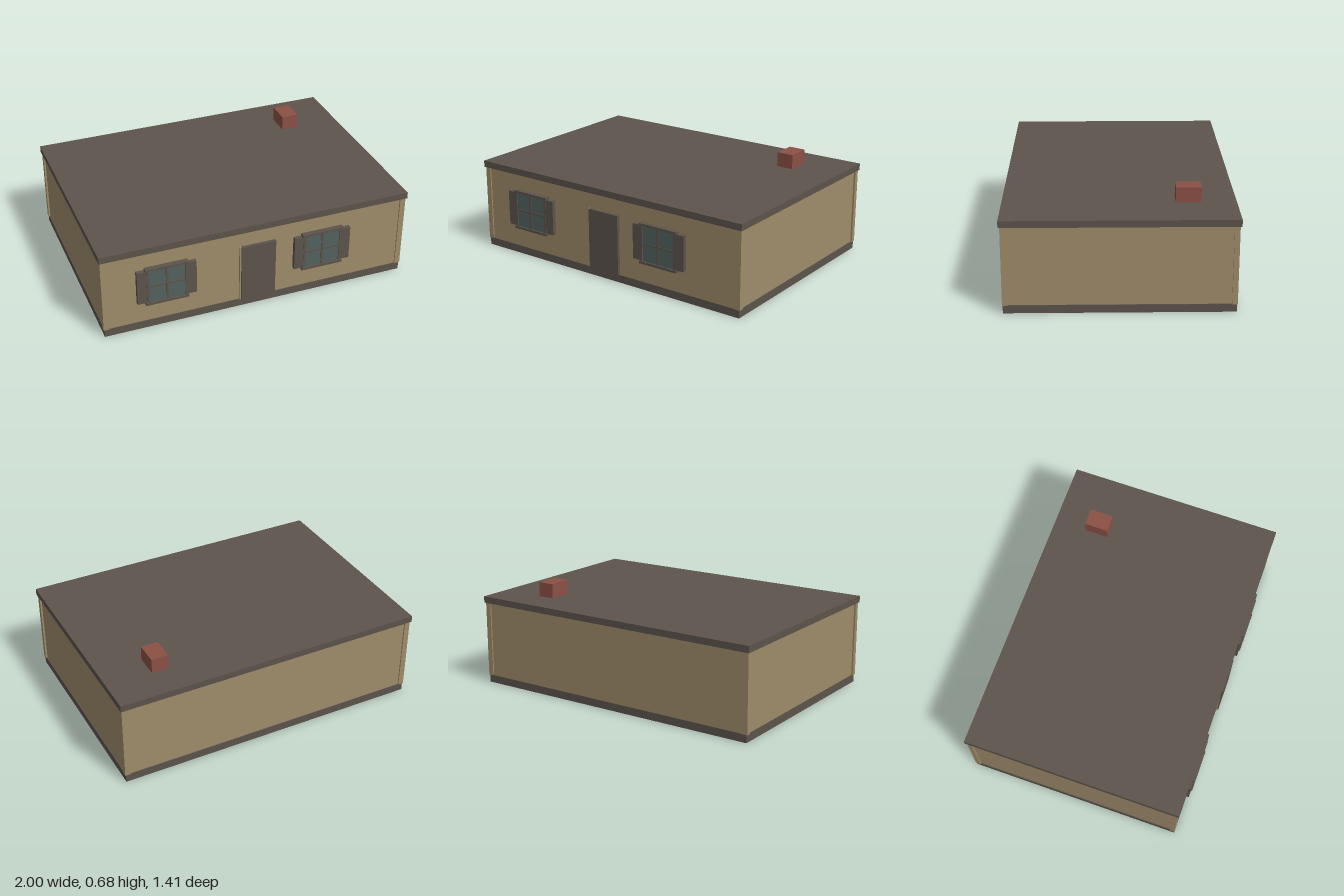
import * as THREE from 'three';

const material = (name, color) => Object.assign(new THREE.MeshStandardMaterial({ color }), { name });

export function createModel() {
  const house = new THREE.Group();
  house.name = 'house';
  const tan = material('tan siding', 0x9f8c6a);
  const brown = material('dark brown trim', 0x5c544c);
  const brick = material('red brick', 0x8c5045);
  const glass = material('blue grey glass', 0x52625f);

  // Box given by its limits along each axis
  const box = (parent, name, mat, x0, x1, y0, y1, z0, z1) => {
    const mesh = new THREE.Mesh(new THREE.BoxGeometry(x1 - x0, y1 - y0, z1 - z0), mat);
    mesh.position.set((x0 + x1) / 2, (y0 + y1) / 2, (z0 + z1) / 2);
    mesh.name = name;
    parent.add(mesh);
  };

  // Main body
  box(house, 'foundation', brown, -0.987, 0.987, 0, 0.05, -0.693, 0.677);
  box(house, 'walls', tan, -0.982, 0.982, 0.05, 0.54, -0.688, 0.672);
  box(house, 'roof', brown, -1, 1, 0.54, 0.582, -0.705, 0.689);
  box(house, 'chimney', brick, 0.598, 0.708, 0.582, 0.675, -0.495, -0.343);

  // Corner posts
  for (const x of [-0.975, 0.975]) {
    for (const z of [-0.68, 0.664]) {
      box(house, 'cornerPost', tan, x - 0.018, x + 0.018, 0.05, 0.54, z - 0.016, z + 0.016);
    }
  }

  // Door with its narrow jamb
  box(house, 'door', brown, -0.114, 0.111, 0.05, 0.438, 0.67, 0.692);
  box(house, 'doorJamb', tan, -0.123, -0.114, 0.05, 0.438, 0.67, 0.685);

  // Windows: glass, frame, glazing bars and a shutter on each side
  for (const x of [-0.593, 0.421]) {
    const win = new THREE.Group();
    win.name = 'window';
    win.position.x = x;
    house.add(win);
    box(win, 'glassPane', glass, -0.118, 0.118, 0.19, 0.43, 0.67, 0.695);
    for (const [y0, y1] of [[0.18, 0.196], [0.423, 0.438]]) {
      box(win, 'frameRail', brown, -0.136, 0.136, y0, y1, 0.67, 0.705);
    }
    box(win, 'glazingBarAcross', brown, -0.115, 0.115, 0.301, 0.314, 0.67, 0.699);
    box(win, 'glazingBarUpright', brown, -0.007, 0.007, 0.196, 0.423, 0.67, 0.7);
    for (const s of [-1, 1]) {
      const side = (name, a, b, y0, y1, z1) =>
        box(win, name, brown, Math.min(s * a, s * b), Math.max(s * a, s * b), y0, y1, 0.67, z1);
      side('frameStile', 0.114, 0.128, 0.196, 0.423, 0.701);
      side('shutter', 0.128, 0.187, 0.198, 0.423, 0.698);
    }
  }
  return house;
}
